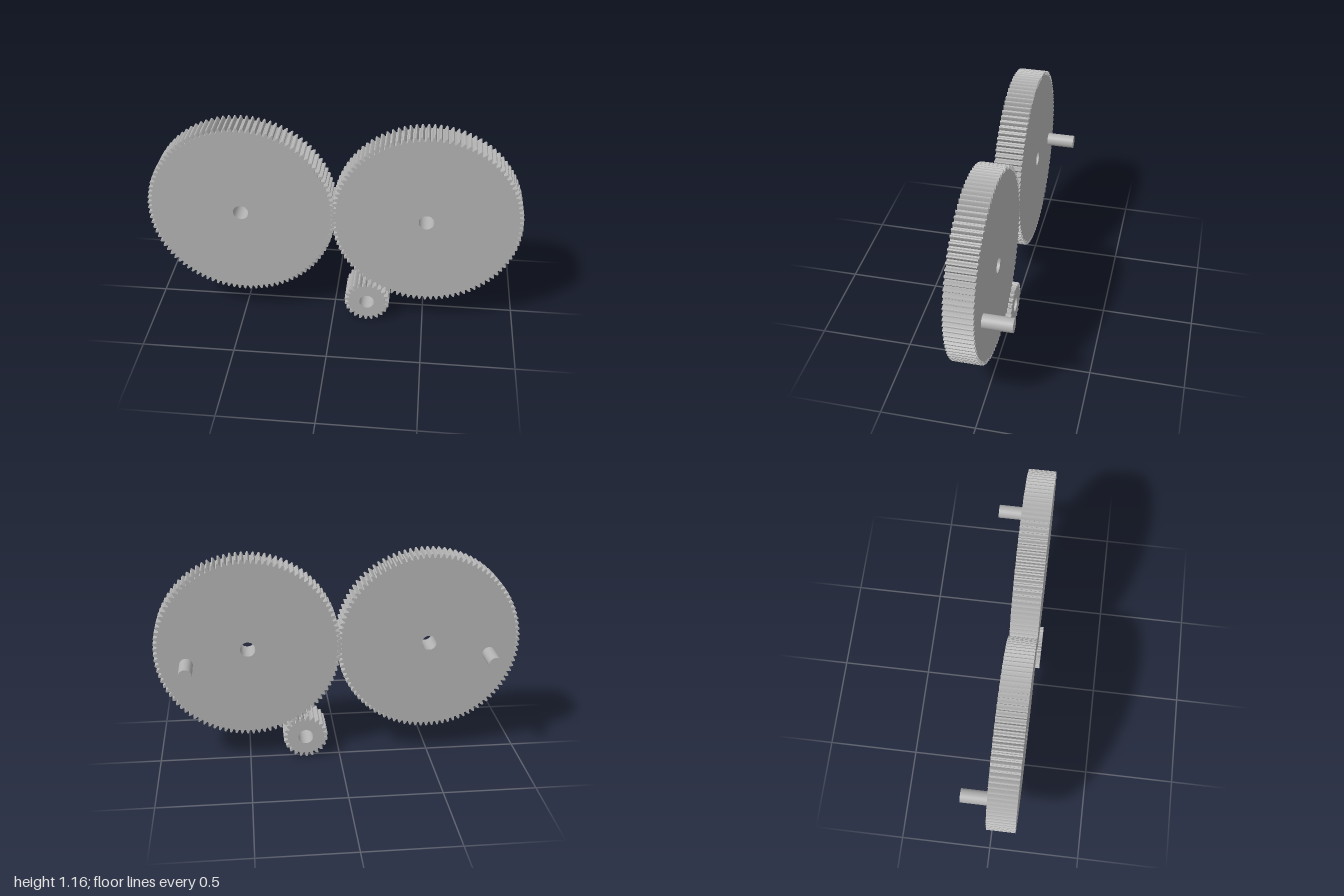
import * as THREE from 'three';

const MODULE = 0.0099; // tooth size: pitch diameter / number of teeth
const HOLE = 0.041;

// Spur gear outline with curved tooth flanks and a round bore; one tooth centred on angle phase
function gearGeometry(teeth, phase, depth) {
  const pitch = (MODULE * teeth) / 2;
  const step = (Math.PI * 2) / teeth;
  const root = pitch - 1.25 * MODULE;
  const tip = pitch + MODULE;
  // radius and half-width (as a fraction of the tooth step) from root to tip
  const flank = [
    [root, 0.37],
    [pitch - 0.6 * MODULE, 0.31],
    [pitch, 0.245],
    [pitch + 0.55 * MODULE, 0.18],
    [tip, 0.1],
  ];
  const points = [];
  const add = (r, a) => points.push(new THREE.Vector2(r * Math.cos(a), r * Math.sin(a)));
  for (let i = 0; i < teeth; i++) {
    const a = phase + i * step;
    flank.forEach(([r, w]) => add(r, a - w * step));
    [...flank].reverse().forEach(([r, w]) => add(r, a + w * step));
  }
  const shape = new THREE.Shape(points);
  const bore = new THREE.Path();
  bore.absarc(0, 0, HOLE, 0, Math.PI * 2, true);
  shape.holes.push(bore);
  return new THREE.ExtrudeGeometry(shape, { depth, bevelEnabled: false, curveSegments: 40 });
}

export function createModel() {
  const model = new THREE.Group();
  model.name = 'gearTrain';
  const grey = new THREE.MeshStandardMaterial({ color: 0xb2b2b2 });
  grey.name = 'grey';

  const addGear = (name, teeth, phase, x, y, z, depth) => {
    const gear = new THREE.Mesh(gearGeometry(teeth, phase, depth), grey);
    gear.name = name;
    gear.position.set(x, y, z);
    model.add(gear);
  };

  const bigTeeth = 100, smallTeeth = 23;
  const centreX = 0.495, centreY = 0.654;
  const smallX = 0.19, smallY = 0.124;
  const bigStep = (Math.PI * 2) / bigTeeth, smallStep = (Math.PI * 2) / smallTeeth;

  // Two large meshing wheels
  addGear('rightWheel', bigTeeth, 0, -centreX, centreY, -0.007, 0.15);
  addGear('leftWheel', bigTeeth, bigStep / 2, centreX, centreY, -0.007, 0.15);

  // Pinion, turned so its teeth fall into the gaps of the left wheel
  const toPinion = Math.atan2(smallY - centreY, smallX - centreX);
  const offset = (toPinion - bigStep / 2) / bigStep;
  const phase = toPinion + Math.PI + smallStep * (0.5 - offset);
  addGear('pinion', smallTeeth, phase, smallX, smallY, -0.027, 0.19);

  // Crank pins on the back of the wheels
  for (const [name, x] of [['rightPin', -0.833], ['leftPin', 0.828]]) {
    const pin = new THREE.Mesh(new THREE.CylinderGeometry(0.037, 0.037, 0.157, 40), grey);
    pin.name = name;
    pin.rotation.x = Math.PI / 2;
    pin.position.set(x, 0.578, -0.0845);
    model.add(pin);
  }
  return model;
}
